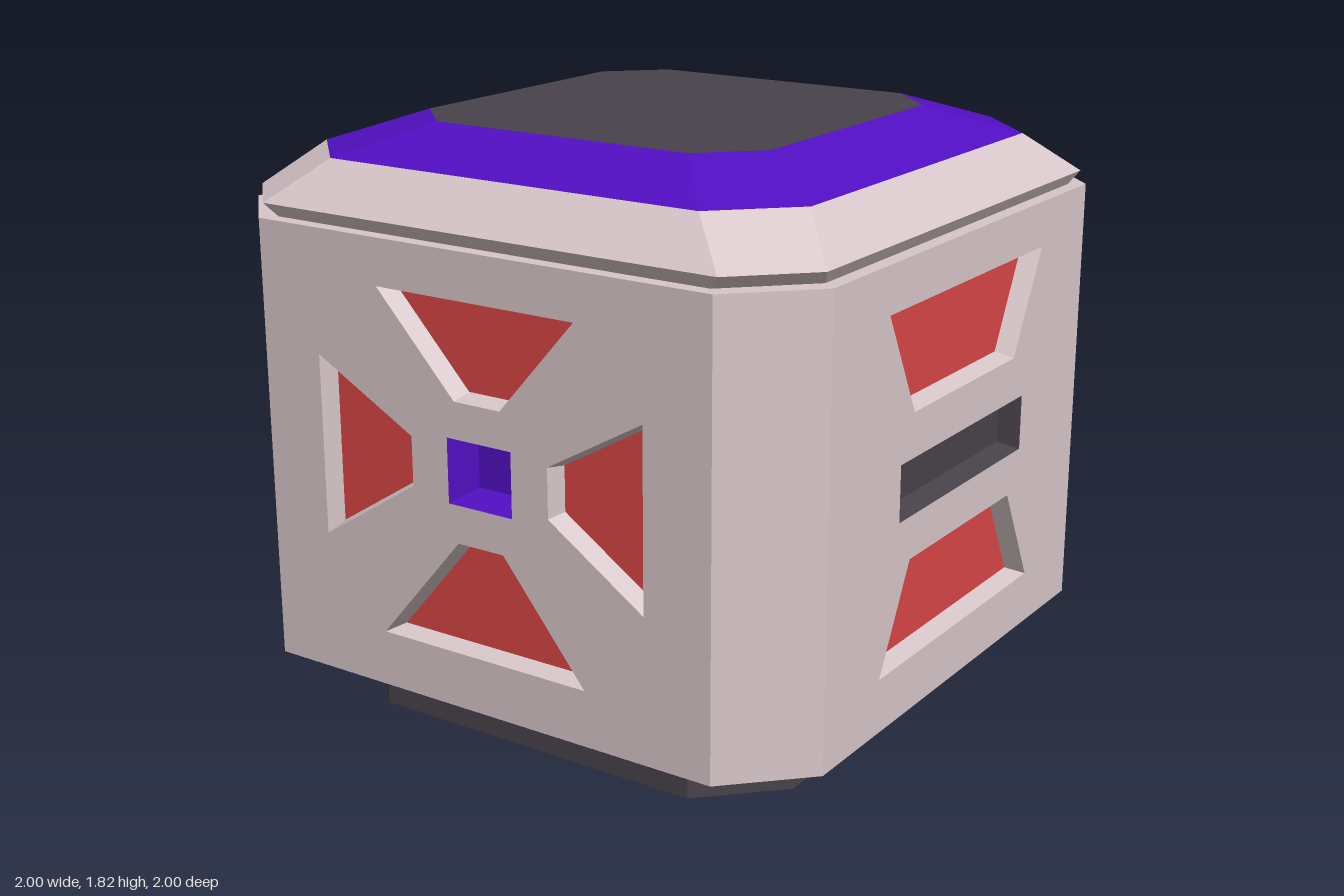
import * as THREE from 'three';

const mat = (name, color) => Object.assign(new THREE.MeshStandardMaterial({ color }), { name });

// Regular-cut octagon outline, counter-clockwise: half width h, corner cut c
const octagon = (h, c) => {
  const k = h - c;
  return [[h, -k], [h, k], [k, h], [-k, h], [-h, k], [-h, -k], [-k, -h], [k, -h]];
};

// Move every edge of a counter-clockwise outline inwards by d
function inset(poly, d) {
  const n = poly.length;
  const normal = (a, b) => new THREE.Vector2(a[1] - b[1], b[0] - a[0]).normalize();
  return poly.map((p, i) => {
    const n1 = normal(poly[(i + n - 1) % n], p);
    const n2 = normal(p, poly[(i + 1) % n]);
    const k = d / (1 + n1.dot(n2));
    return [p[0] + (n1.x + n2.x) * k, p[1] + (n1.y + n2.y) * k];
  });
}

// Flat-sided band between two outlines lying at depths z0 and z1
function band(a, z0, b, z1) {
  const pos = [];
  a.forEach((p, i) => {
    const j = (i + 1) % a.length;
    const A = [...p, z0], B = [...a[j], z0], C = [...b[j], z1], D = [...b[i], z1];
    pos.push(...A, ...B, ...C, ...A, ...C, ...D);
  });
  const g = new THREE.BufferGeometry();
  g.setAttribute('position', new THREE.Float32BufferAttribute(pos, 3));
  g.computeVertexNormals();
  return g;
}

const toPoints = (poly) => poly.map(([x, y]) => new THREE.Vector2(x, y));

function plate(poly, z, holes = []) {
  const shape = new THREE.Shape(toPoints(poly));
  shape.holes = holes.map((h) => new THREE.Path(toPoints(h)));
  return new THREE.ShapeGeometry(shape).translate(0, 0, z);
}

const rect = (x0, y0, x1, y1) => [[x0, y0], [x1, y0], [x1, y1], [x0, y1]];

export function createModel() {
  const shell = mat('paleShell', 0xd8c7ca);
  const purple = mat('purpleTrim', 0x520fc2);
  const grey = mat('darkGrey', 0x48434a);
  const red = mat('redInlay', 0xd94646);

  const model = new THREE.Group();
  model.name = 'chamferedCube';
  const add = (parent, name, geometry, material) => {
    const mesh = new THREE.Mesh(geometry, material);
    mesh.name = name;
    parent.add(mesh);
  };

  // Stacked octagonal rings: [name, half width, cut, y] to the next, with colour
  const stack = new THREE.Group();
  stack.name = 'octagonalStack';
  stack.rotation.x = -Math.PI / 2;
  model.add(stack);
  const ring = (name, [h0, c0, y0], [h1, c1, y1], material) =>
    add(stack, name, band(octagon(h0, c0), y0, octagon(h1, c1), y1), material);
  ring('foot', [0.78, 0.22, 0], [0.78, 0.22, 0.06], grey);
  ring('lowerSkirt', [0.78, 0.22, 0.06], [1, 0.22, 0.2], purple);
  ring('bodyRim', [1, 0.22, 1.56], [0.955, 0.21, 1.56], shell);
  ring('lidUnderside', [0.955, 0.21, 1.56], [0.98, 0.2, 1.6], shell);
  ring('lidSlope', [0.98, 0.2, 1.6], [0.845, 0.21, 1.725], shell);
  ring('lidTrim', [0.845, 0.21, 1.725], [0.6, 0.16, 1.815], purple);
  add(stack, 'lidTop', plate(octagon(0.6, 0.16), 1.815), grey);
  add(stack, 'footBase', plate(octagon(0.78, 0.22), 0).rotateX(Math.PI), grey);

  // Recesses on each side: outline, floor colour, wall colour, depth, wall taper
  const inlay = (outline) => [outline, red, shell, 0.06, 0.014];
  const front = [
    inlay([[-0.34, 1.42], [-0.07, 1.13], [0.09, 1.13], [0.345, 1.42]]),
    inlay([[-0.36, 0.37], [0.365, 0.37], [0.09, 0.71], [-0.07, 0.71]]),
    inlay([[-0.57, 0.635], [-0.23, 0.85], [-0.23, 1.0], [-0.57, 1.185]]),
    inlay([[0.565, 0.64], [0.565, 1.18], [0.25, 1.0], [0.25, 0.85]]),
    [rect(-0.1, 0.825, 0.125, 1.02), purple, purple, 0.12, 0.014],
  ];
  const left = [
    inlay([[-0.475, 1.42], [-0.315, 1.11], [0.315, 1.11], [0.475, 1.42]]),
    inlay([[-0.475, 0.365], [0.475, 0.365], [0.315, 0.675], [-0.315, 0.675]]),
    [rect(-0.385, 0.805, 0.385, 0.975), grey, grey, 0.07, 0.014],
  ];
  const windowed = [[rect(-0.61, 0.335, 0.61, 1.43), grey, shell, 0.075, 0]];

  // Four sides, each with its corner chamfer
  [['front', front], ['left', left], ['back', windowed], ['right', windowed]].forEach(([name, recesses], i) => {
    const side = new THREE.Group();
    side.name = name + 'Side';
    side.rotation.y = (i * Math.PI) / 2;
    model.add(side);
    add(side, 'sidePanel', plate(rect(-0.78, 0.2, 0.78, 1.56), 1, recesses.map((r) => r[0])), shell);
    for (const [outline, floor, wall, depth, taper] of recesses) {
      const inner = inset(outline, taper);
      add(side, 'recessWall', band(outline, 1, inner, 1 - depth), wall);
      add(side, 'recessFloor', plate(inner, 1 - depth), floor);
    }
    const chamfer = new THREE.PlaneGeometry(0.22 * Math.SQRT2, 1.36);
    chamfer.rotateY(Math.PI / 4).translate(0.89, 0.88, 0.89);
    add(side, 'cornerChamfer', chamfer, shell);
  });

  return model;
}
